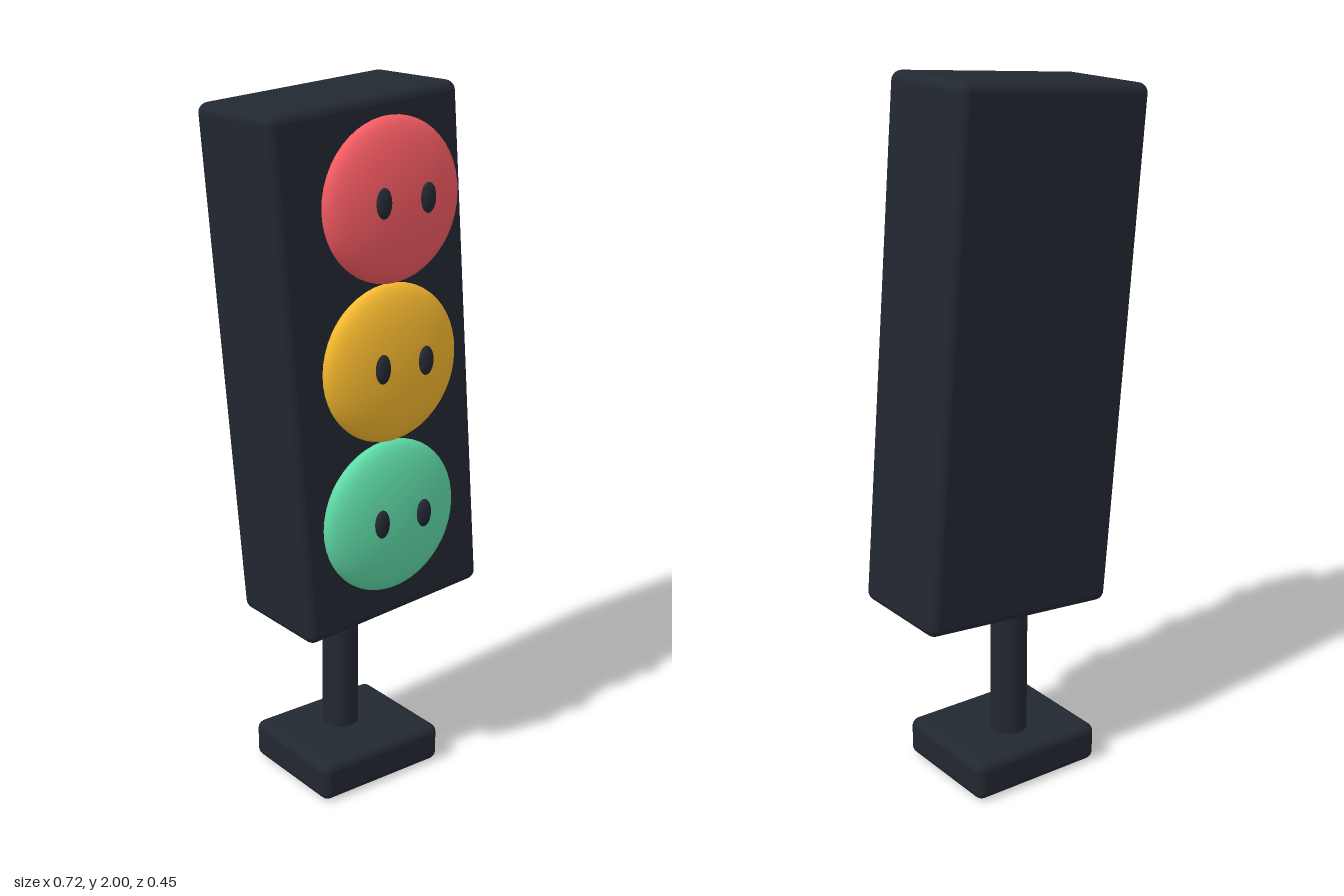
import * as THREE from 'three';
import { RoundedBoxGeometry } from 'three/addons/geometries/RoundedBoxGeometry.js';

export function createModel() {
  const model = new THREE.Group();
  model.name = 'trafficLight';
  const paint = (color) => new THREE.MeshStandardMaterial({ color });
  const dark = paint(0x222831);

  const add = (name, geometry, material, x, y, z) => {
    const mesh = new THREE.Mesh(geometry, material);
    mesh.name = name;
    mesh.position.set(x, y, z);
    model.add(mesh);
    return mesh;
  };

  // Foot and post
  add('base', new RoundedBoxGeometry(0.42, 0.115, 0.357, 4, 0.026), dark, 0, 0.0575, -0.0465);
  add('post', new THREE.CylinderGeometry(0.053, 0.053, 0.52, 32), dark, 0, 0.35, -0.078);

  // Leaning housing
  const housing = add('housing', new RoundedBoxGeometry(0.608, 1.459, 0.335, 4, 0.028), dark, 0, 1.25, -0.0485);
  housing.rotation.z = 0.0785;

  // Flattened round lamps, each with a pair of oval eyes
  const ball = new THREE.SphereGeometry(1, 40, 24);
  const lamps = [
    ['red', 0xf45b63, 1.715],
    ['amber', 0xf5b82e, 1.28],
    ['green', 0x5fdba7, 0.845],
  ];
  for (const [name, color, y] of lamps) {
    add(name + 'Lamp', ball, paint(color), 0, y, 0.149).scale.set(0.218, 0.218, 0.062);
    for (const side of [-1, 1]) {
      const eye = add(name + (side > 0 ? 'LeftEye' : 'RightEye'), ball, dark, side * 0.072, y + 0.009, 0.212);
      eye.scale.set(0.023, 0.04, 0.013);
    }
  }
  return model;
}
